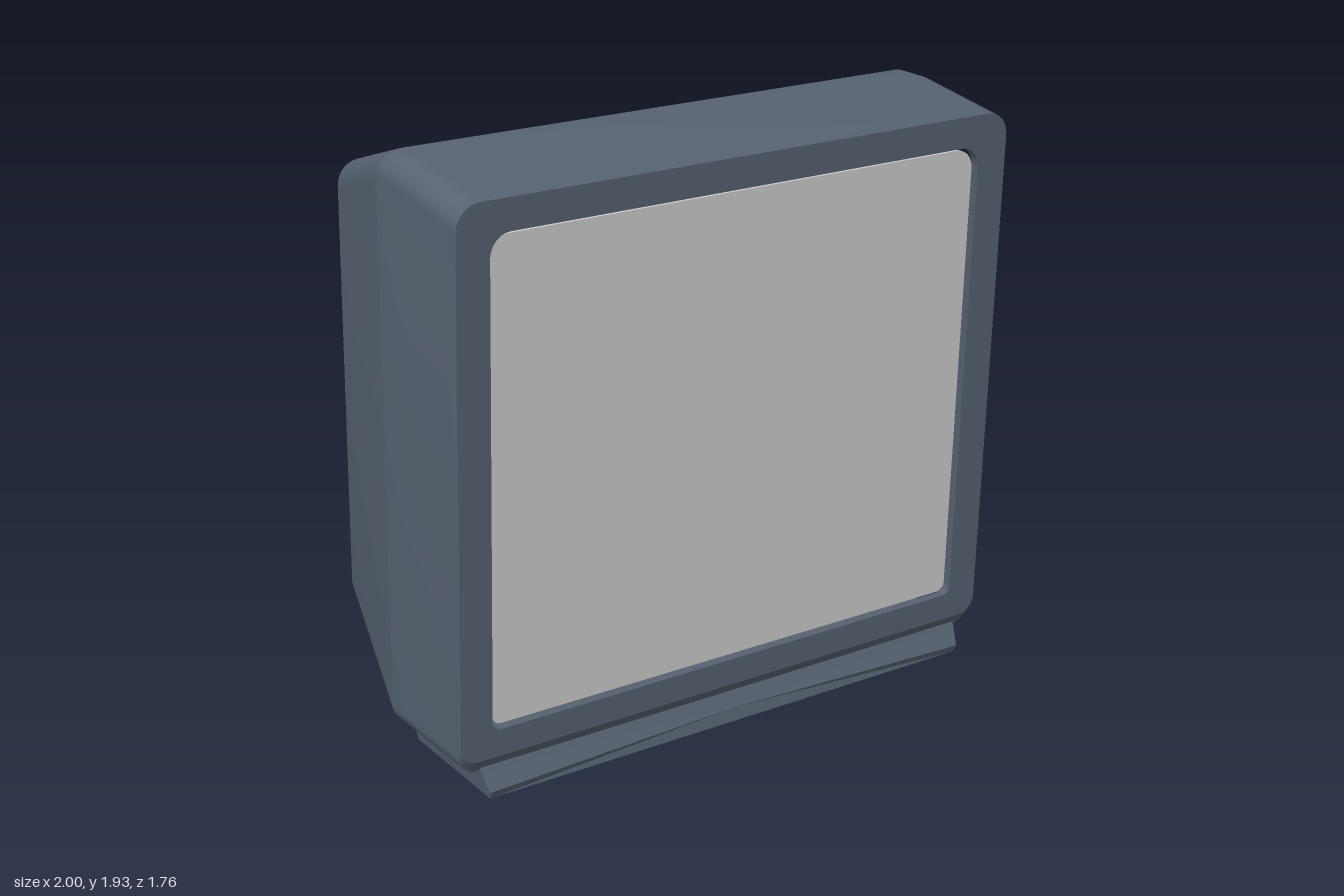
import * as THREE from 'three';
import { toCreasedNormals } from 'three/addons/utils/BufferGeometryUtils.js';

const bodyMat = new THREE.MeshStandardMaterial({ color: 0x566270 });
const screenMat = new THREE.MeshStandardMaterial({ color: 0xcccccc });

// The front face leans slightly forward towards the top.
const lean = (y) => 0.85 + 0.03 * (y - 0.13) / 1.75;

// Rounded rectangle ring, counter-clockwise seen from the front.
function ring(w, top, bot, rTop, rBot, z) {
  const seg = 10, pts = [];
  const corners = [
    [w, bot, -1, 1, rBot, -Math.PI / 2], [w, top, -1, -1, rTop, 0],
    [-w, top, 1, -1, rTop, Math.PI / 2], [-w, bot, 1, 1, rBot, Math.PI],
  ];
  for (const [x, y, sx, sy, r, a0] of corners) {
    for (let i = 0; i <= seg; i++) {
      const a = a0 + (i / seg) * Math.PI / 2;
      const px = x + sx * r + r * Math.cos(a), py = y + sy * r + r * Math.sin(a);
      pts.push([px, py, typeof z === 'function' ? z(py) : z]);
    }
  }
  return pts;
}

// Ring from a right-hand edge listed bottom to top, mirrored to the left.
const mirrored = (half) => [...half, ...half.map(([x, y, z]) => [-x, y, z]).reverse()];

// Skin a list of rings, with optional end caps.
function loft(rings, capFront, capBack) {
  const pos = [], n = rings[0].length;
  const tri = (a, b, c) => pos.push(...a, ...b, ...c);
  for (let k = 0; k < rings.length - 1; k++) {
    const a = rings[k], b = rings[k + 1];
    for (let i = 0; i < n; i++) {
      const j = (i + 1) % n;
      tri(a[i], b[i], a[j]);
      tri(a[j], b[i], b[j]);
    }
  }
  const cap = (r, flip) => {
    const c = [0, 1, 2].map((d) => r.reduce((s, p) => s + p[d], 0) / n);
    for (let i = 0; i < n; i++) {
      const j = (i + 1) % n;
      if (flip) tri(c, r[j], r[i]); else tri(c, r[i], r[j]);
    }
  };
  if (capFront) cap(rings[0], false);
  if (capBack) cap(rings[rings.length - 1], true);
  const g = new THREE.BufferGeometry();
  g.setAttribute('position', new THREE.Float32BufferAttribute(pos, 3));
  return toCreasedNormals(g, 0.19);
}

export function createModel() {
  const group = new THREE.Group();
  const add = (name, geometry, material = bodyMat) => {
    const m = new THREE.Mesh(geometry, material);
    m.name = name;
    group.add(m);
  };
  const recess = (y) => lean(y) - 0.03;

  // Housing: screen recess, bezel, then the tapering shell
  add('housing', loft([
    ring(0.89, 1.78, 0.22, 0.07, 0.03, recess),
    ring(0.89, 1.78, 0.22, 0.07, 0.03, lean),
    ring(1, 1.88, 0.13, 0.08, 0.06, lean),
    ring(1, 1.887, 0.09, 0.08, 0.07, 0.83),
    ring(1, 1.93, 0.083, 0.08, 0.07, 0.53),
    ring(1, 1.93, 0.08, 0.08, 0.07, 0.42),
    ring(0.78, 1.71, 0.18, 0.08, 0.07, -0.27),
    ring(0.54, 1.46, 0.265, 0.08, 0.07, -0.7),
  ], false, true));

  // Screen set into the recess
  add('screen', loft([
    ring(0.88, 1.77, 0.23, 0.065, 0.03, (y) => lean(y) - 0.018),
    ring(0.88, 1.77, 0.23, 0.065, 0.03, recess),
  ], true, false), screenMat);

  // Upper box projecting from the back
  add('rearBox', loft([
    ring(0.54, 1.46, 0.67, 0.08, 0.005, -0.7),
    ring(0.42, 1.33, 0.71, 0.07, 0.005, -0.88),
  ], false, true));

  // Plinth under the housing, rising towards the back
  add('plinth', loft([
    mirrored([[0.91, 0.005, 0.865], [0.915, 0.03, 0.875], [0.93, 0.11, 0.83]]),
    mirrored([[0.91, 0, 0.42], [0.915, 0.03, 0.42], [0.93, 0.11, 0.42]]),
    mirrored([[0.7, 0.11, -0.27], [0.705, 0.13, -0.27], [0.72, 0.21, -0.27]]),
    mirrored([[0.47, 0.19, -0.698], [0.475, 0.21, -0.698], [0.49, 0.3, -0.698]]),
  ], true, true));

  // Rear foot with sloping sides: z, bottom half-width and y, top half-width and y
  add('rearFoot', loft([
    [-0.25, 0.69, 0.108, 0.7, 0.13], [-0.32, 0.58, 0.03, 0.67, 0.135],
    [-0.36, 0.55, 0.01, 0.65, 0.145], [-0.67, 0.39, 0.01, 0.485, 0.2],
    [-0.69, 0.38, 0.02, 0.475, 0.205], [-0.7, 0.38, 0.045, 0.47, 0.21],
  ].map(([z, wb, yb, wt, yt]) => mirrored([[wb, yb, z], [wt, yt, z]])), true, true));

  return group;
}
